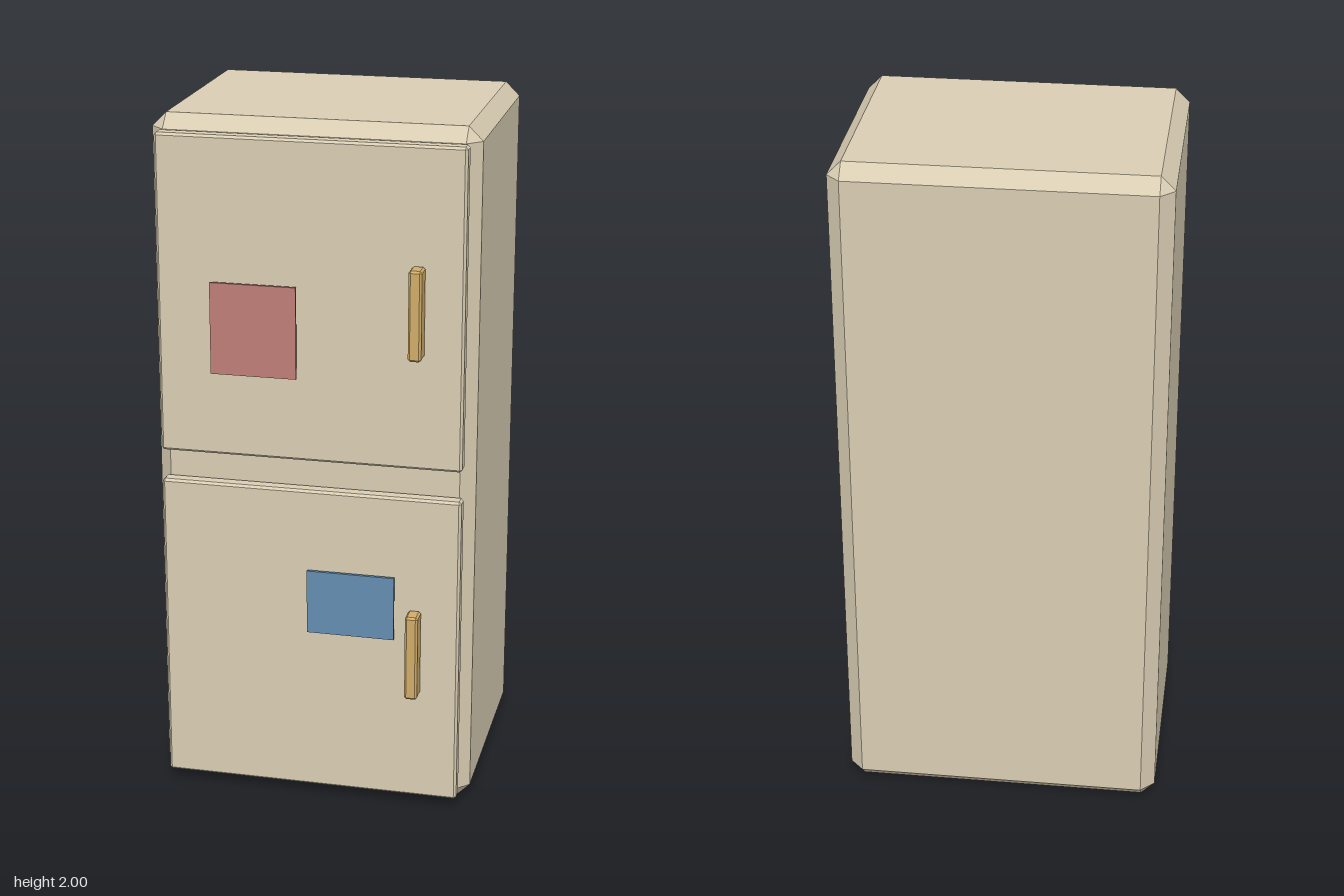
import * as THREE from 'three';
import { ConvexGeometry } from 'three/addons/geometries/ConvexGeometry.js';

const paint = (name, color) => {
  const m = new THREE.MeshStandardMaterial({ color });
  m.name = name;
  return m;
};

// Box with every edge chamfered by c, given as [min, max] ranges
function bevelBox(name, [x0, x1], [y0, y1], [z0, z1], c, material) {
  const half = [(x1 - x0) / 2, (y1 - y0) / 2, (z1 - z0) / 2];
  const points = [];
  for (const sx of [-1, 1]) for (const sy of [-1, 1]) for (const sz of [-1, 1]) {
    for (let full = 0; full < 3; full++) {
      const [x, y, z] = half.map((h, axis) => (axis === full ? h : h - c));
      points.push(new THREE.Vector3(sx * x, sy * y, sz * z));
    }
  }
  const mesh = new THREE.Mesh(new ConvexGeometry(points), material);
  mesh.name = name;
  mesh.position.set((x0 + x1) / 2, (y0 + y1) / 2, (z0 + z1) / 2);
  return mesh;
}

// Thin sheet held just in front of a door
function note(name, [x0, x1], [y0, y1], material) {
  const mesh = new THREE.Mesh(new THREE.BoxGeometry(x1 - x0, y1 - y0, 0.009), material);
  mesh.name = name;
  mesh.position.set((x0 + x1) / 2, (y0 + y1) / 2, 0.366);
  return mesh;
}

export function createModel() {
  const cream = paint('cream enamel', 0xd9cdb3);
  const brass = paint('brass', 0xd0ad6a);
  const red = paint('red paper', 0xbe7e78);
  const blue = paint('blue paper', 0x638db0);

  const fridge = new THREE.Group();
  fridge.name = 'refrigerator';

  // Cabinet
  fridge.add(bevelBox('cabinet', [-0.46, 0.46], [0, 2], [-0.41, 0.305], 0.04, cream));

  // Doors, each with a handle
  const doors = [
    { name: 'upper', y: [1.045, 1.96], grip: [1.375, 1.63] },
    { name: 'lower', y: [0.03, 0.957], grip: [0.365, 0.62] },
  ];
  for (const { name, y, grip } of doors) {
    fridge.add(bevelBox(name + 'Door', [-0.433, 0.433], y, [0.305, 0.35], 0.007, cream));
    fridge.add(bevelBox(name + 'Handle', [0.287, 0.324], grip, [0.35, 0.407], 0.006, brass));
  }

  // Paper notes
  fridge.add(note('redNote', [-0.277, -0.033], [1.29, 1.553], red));
  fridge.add(note('blueNote', [-0.005, 0.248], [0.53, 0.72], blue));

  return fridge;
}
